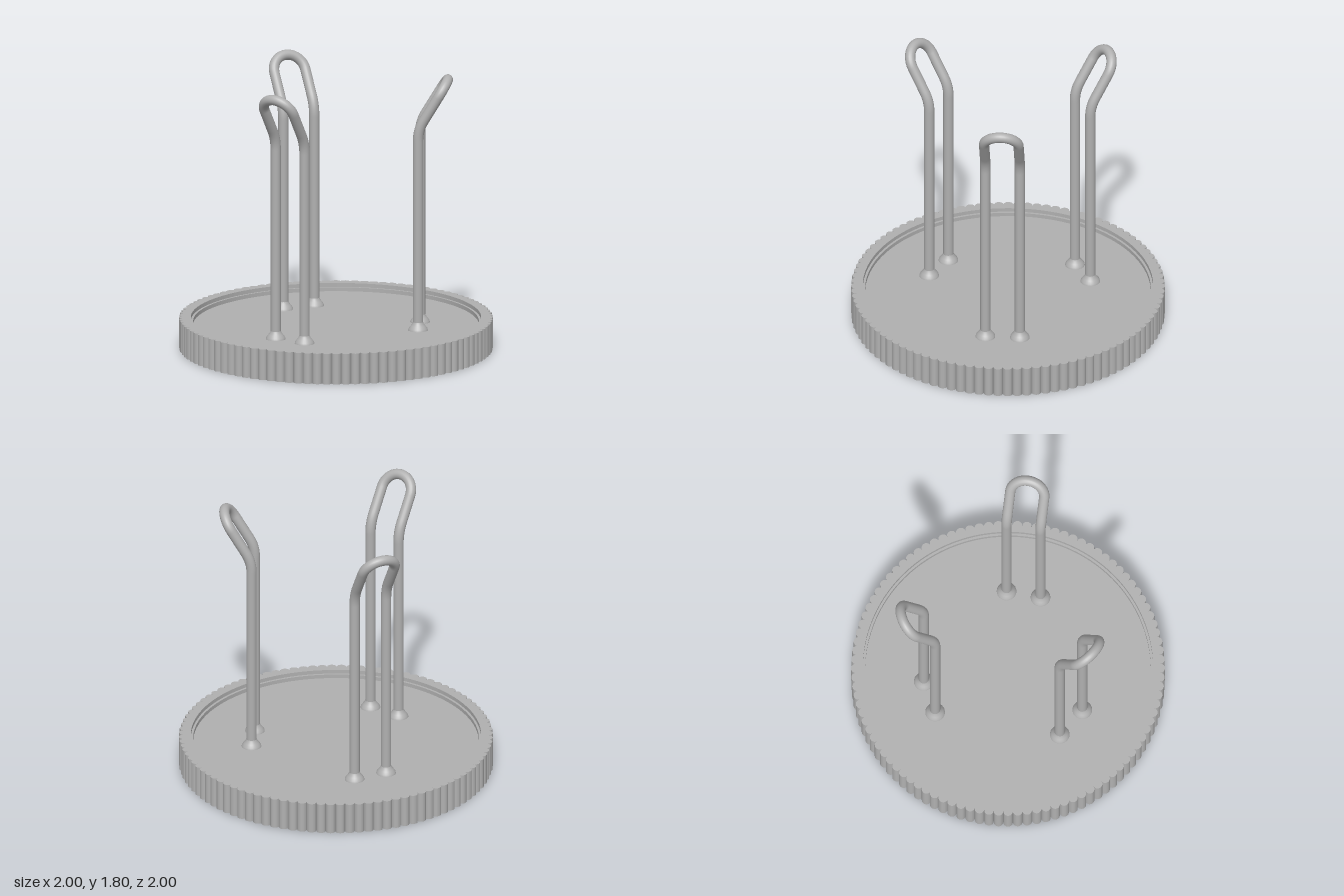
import * as THREE from 'three';

const FLOOR = 0.15, RIM = 0.2;

// Rounded hairpin path: up one leg, leaning outward, over the top and down the other leg
function hookPath() {
  const half = 0.11, x0 = 0.53, bendY = 1.46, lean = THREE.MathUtils.degToRad(31);
  const s = Math.sin(lean), c = Math.cos(lean);
  // d is the distance along the leaning plane beyond the bend
  const P = (d, z) => new THREE.Vector3(x0 + Math.max(d, 0) * s, bendY + d * (d > 0 ? c : 1), z);
  const shoulder = 0.246, top = shoulder + half, k = 0.5523 * half, b = 0.07;
  const path = new THREE.CurvePath();
  const foot = FLOOR - bendY;
  path.add(new THREE.LineCurve3(P(foot, half), P(-b, half)));
  path.add(new THREE.QuadraticBezierCurve3(P(-b, half), P(0, half), P(b, half)));
  path.add(new THREE.LineCurve3(P(b, half), P(shoulder, half)));
  path.add(new THREE.CubicBezierCurve3(P(shoulder, half), P(shoulder + k, half), P(top, k), P(top, 0)));
  path.add(new THREE.CubicBezierCurve3(P(top, 0), P(top, -k), P(shoulder + k, -half), P(shoulder, -half)));
  path.add(new THREE.LineCurve3(P(shoulder, -half), P(b, -half)));
  path.add(new THREE.QuadraticBezierCurve3(P(b, -half), P(0, -half), P(-b, -half)));
  path.add(new THREE.LineCurve3(P(-b, -half), P(foot, -half)));
  return path;
}

export function createModel() {
  const model = new THREE.Group();
  const grey = new THREE.MeshStandardMaterial({ color: 0xb0b0b0 });
  grey.name = 'grey';

  const add = (parent, name, geometry) => {
    const mesh = new THREE.Mesh(geometry, grey);
    mesh.name = name;
    parent.add(mesh);
    return mesh;
  };

  // Ribbed outer wall: a ring of touching half-round ribs
  const ribs = 100, ribCentre = 0.9695;
  const ribRadius = ribCentre * Math.sin(Math.PI / ribs);
  const outline = new THREE.Shape();
  for (let i = 0; i < ribs; i++) {
    const a = (i / ribs) * Math.PI * 2;
    outline.absarc(ribCentre * Math.cos(a), ribCentre * Math.sin(a), ribRadius, a - Math.PI / 2, a + Math.PI / 2, false);
  }
  const opening = new THREE.Path();
  for (let i = 0; i < 120; i++) {
    const a = (i / 120) * Math.PI * 2;
    const x = 0.925 * Math.cos(a), y = 0.925 * Math.sin(a);
    if (i === 0) opening.moveTo(x, y);
    else opening.lineTo(x, y);
  }
  opening.closePath();
  outline.holes.push(opening);
  const wall = new THREE.ExtrudeGeometry(outline, { depth: RIM, bevelEnabled: false, curveSegments: 8 });
  wall.rotateX(-Math.PI / 2);
  add(model, 'ribbedRim', wall);

  // Recessed floor, closed underneath
  add(model, 'trayFloor', new THREE.CylinderGeometry(0.925, 0.925, FLOOR, 120).translate(0, FLOOR / 2, 0));

  // Small ledge inside the rim
  const ledge = [[0.91, FLOOR], [0.91, 0.175], [0.91, 0.175], [0.926, 0.175]];
  add(model, 'innerLedge', new THREE.LatheGeometry(ledge.map(p => new THREE.Vector2(...p)).reverse(), 120))
    .geometry.computeVertexNormals();
  const ledgeMesh = model.children[model.children.length - 1];
  ledgeMesh.material = grey;
  grey.side = THREE.DoubleSide;

  // Three wire hooks with flared feet
  const tube = new THREE.TubeGeometry(hookPath(), 200, 0.033, 20, false);
  const flare = new THREE.LatheGeometry(
    [[0.063, 0], [0.06, 0.012], [0.048, 0.028], [0.037, 0.042], [0.032, 0.055]].map(p => new THREE.Vector2(...p)), 28);
  for (let i = 0; i < 3; i++) {
    const hook = new THREE.Group();
    hook.name = 'hook' + (i + 1);
    hook.rotation.y = (i * Math.PI * 2) / 3;
    add(hook, 'wire', tube);
    for (const side of [-1, 1]) add(hook, 'flaredFoot', flare).position.set(0.53, FLOOR, side * 0.11);
    model.add(hook);
  }
  return model;
}
